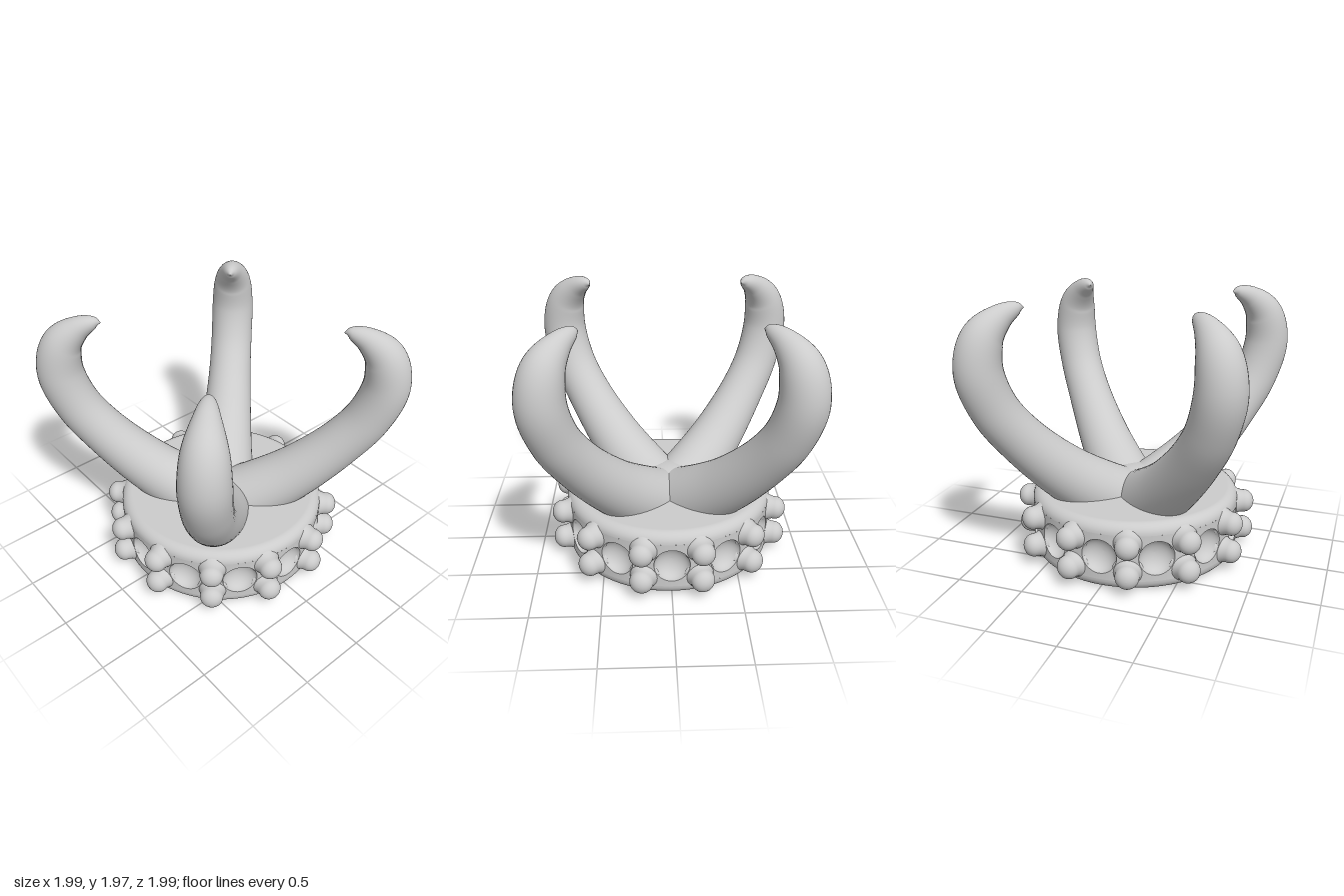
import * as THREE from 'three';

const material = new THREE.MeshStandardMaterial({ color: 0xcccccc });

const R = 0.79;        // base radius
const HEIGHT = 0.51;   // base height
const ROUND = 0.08;    // rounding of the base edges
const MID = HEIGHT / 2;
const SOCKET = 0.13;   // socket radius
const DEPTH = 0.095;   // socket depth

function addMesh(parent, name, geometry) {
  const mesh = new THREE.Mesh(geometry, material);
  mesh.name = name;
  parent.add(mesh);
  return mesh;
}

// Surface of closed rings: at(t, angle) returns a point, t runs 0..1 along the rows
function rings(rows, cols, at) {
  const positions = [], index = [];
  for (let j = 0; j <= rows; j++) {
    for (let i = 0; i < cols; i++) {
      positions.push(...at(j / rows, (i / cols) * Math.PI * 2));
      if (j === rows) continue;
      const a = j * cols + i, b = j * cols + (i + 1) % cols;
      index.push(a, a + cols, b + cols, a, b + cols, b);
    }
  }
  const geometry = new THREE.BufferGeometry();
  geometry.setAttribute('position', new THREE.Float32BufferAttribute(positions, 3));
  geometry.setIndex(index);
  geometry.computeVertexNormals();
  return geometry;
}

// Wrap flat wall coordinates around the base
const wrap = (u, v, r = R) => [r * Math.sin(u / R), MID + v, r * Math.cos(u / R)];

// One twelfth of the wall, with a round hole in it
function wallGeometry() {
  const halfWidth = R * Math.PI / 12, halfHeight = MID - ROUND;
  return rings(8, 48, (t, a) => {
    const c = Math.cos(a), s = Math.sin(a), m = Math.max(Math.abs(c), Math.abs(s));
    return wrap(
      THREE.MathUtils.lerp(SOCKET * c, halfWidth * c / m, t),
      THREE.MathUtils.lerp(SOCKET * s, halfHeight * s / m, t));
  });
}

// Hollow bowl that fills the hole
function socketGeometry() {
  return rings(12, 48, (t, a) => {
    const k = Math.max(t, 0.001) * Math.PI / 2, d = SOCKET * Math.sin(k);
    return wrap(d * Math.cos(a), d * Math.sin(a), R - DEPTH * Math.cos(k));
  });
}

// Round-ended knob with a flared foot, pointing along +z
function knobGeometry() {
  const profile = [[0.115, -0.03], [0.1, -0.005], [0.09, 0.018], [0.086, 0.04], [0.086, 0.055]]
    .map(([x, y]) => new THREE.Vector2(x, y));
  for (let i = 1; i <= 10; i++) {
    const k = (i / 10) * Math.PI / 2;
    profile.push(new THREE.Vector2(0.086 * Math.cos(k), 0.055 + 0.075 * Math.sin(k)));
  }
  return new THREE.LatheGeometry(profile, 28).rotateX(Math.PI / 2);
}

// Tapering claw along +x; each point is distance out, height, radius
function clawGeometry() {
  const path = new THREE.CatmullRomCurve3([
    [0, 0.33, 0.25], [0.28, 0.48, 0.235], [0.59, 0.7, 0.205], [0.9, 1.0, 0.177],
    [1.08, 1.245, 0.17], [1.172, 1.52, 0.168], [1.13, 1.74, 0.145],
    [1.0, 1.872, 0.09], [0.88, 1.925, 0.042], [0.835, 1.925, 0.001],
  ].map((p) => new THREE.Vector3(...p)));
  return rings(72, 40, (t, a) => {
    const p = path.getPoint(t), d = path.getTangent(t);
    const length = Math.hypot(d.x, d.y), r = Math.max(p.z, 0.001);
    const c = r * Math.cos(a) / length;
    return [p.x + d.y * c, p.y - d.x * c, r * Math.sin(a)];
  });
}

// Flat disc with a rounded rim, for the top or bottom of the base
function capGeometry(top) {
  const rim = [];
  for (let i = 0; i <= 8; i++) {
    const k = (i / 8) * Math.PI / 2;
    const y = ROUND * (1 - Math.cos(k));
    rim.push(new THREE.Vector2(R - ROUND + ROUND * Math.sin(k), top ? HEIGHT - y : y));
  }
  const profile = [new THREE.Vector2(0, top ? HEIGHT : 0), ...rim];
  return new THREE.LatheGeometry(top ? profile.reverse() : profile, 96);
}

export function createModel() {
  const model = new THREE.Group();
  model.name = 'clawedRing';

  const base = new THREE.Group();
  base.name = 'base';
  model.add(base);
  addMesh(base, 'baseTop', capGeometry(true));
  addMesh(base, 'baseBottom', capGeometry(false));

  // Twelve sockets, with a pair of knobs between neighbours
  const wall = wallGeometry(), socket = socketGeometry(), knob = knobGeometry();
  for (let i = 0; i < 12; i++) {
    const sector = new THREE.Group();
    sector.name = 'baseSector';
    sector.rotation.y = i * Math.PI / 6;
    base.add(sector);
    addMesh(sector, 'wall', wall);
    addMesh(sector, 'socket', socket);
    const pair = new THREE.Group();
    pair.name = 'knobPair';
    pair.rotation.y = Math.PI / 12;
    sector.add(pair);
    for (const y of [0.147, 0.37]) addMesh(pair, 'knob', knob).position.set(0, y, R);
  }

  // Four claws meeting in a domed hub
  const claw = clawGeometry();
  for (let i = 0; i < 4; i++) {
    addMesh(model, 'claw', claw).rotation.y = Math.PI / 4 + i * Math.PI / 2;
  }
  const hub = addMesh(model, 'hub', new THREE.SphereGeometry(1, 40, 24));
  hub.scale.set(0.37, 0.28, 0.37);
  hub.position.y = 0.36;

  return model;
}
